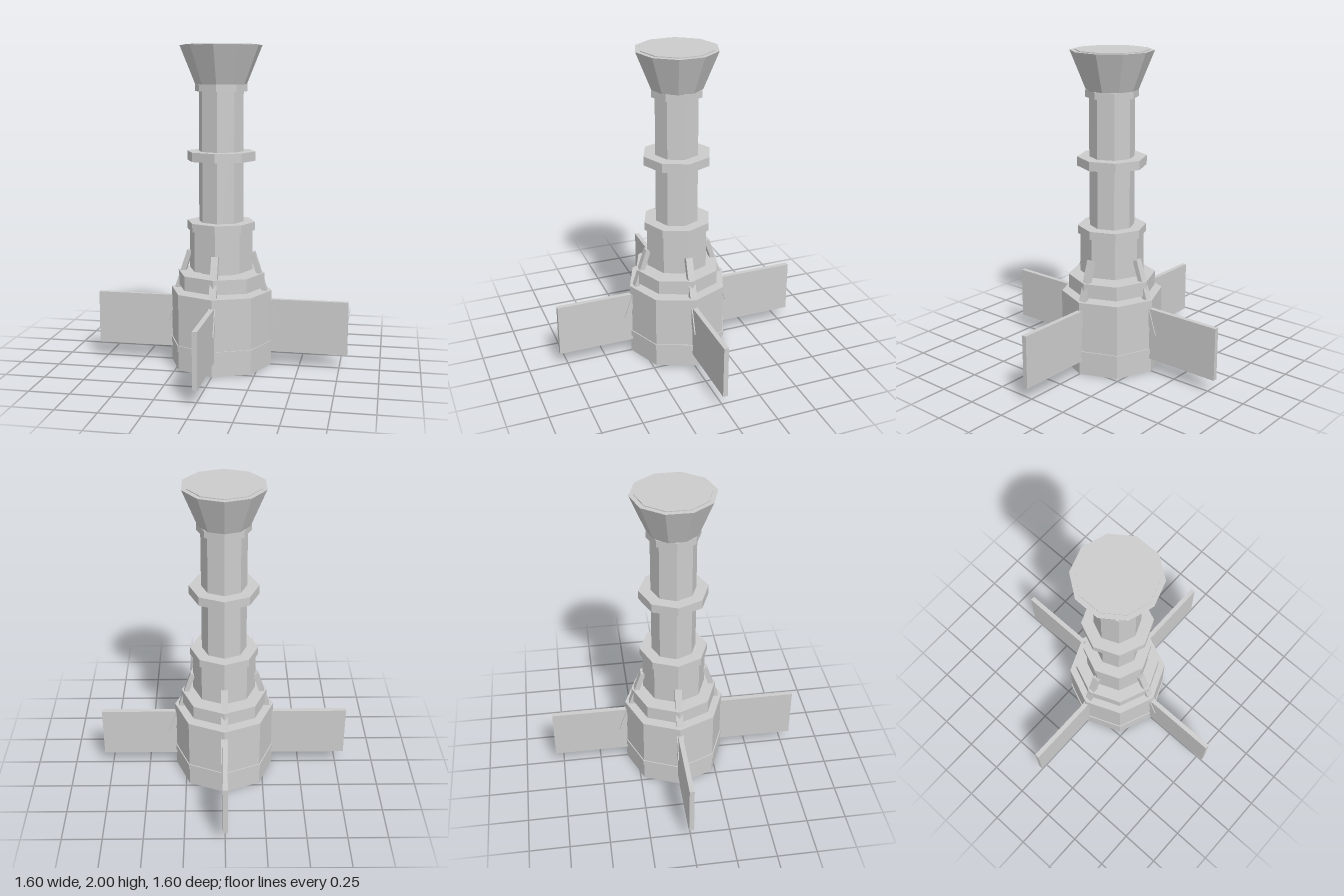
import * as THREE from 'three';

export function createModel() {
  const model = new THREE.Group();
  const grey = new THREE.MeshStandardMaterial({ color: 0xcccccc, flatShading: true });
  grey.name = 'light grey';

  const add = (name, geometry, parent = model) => {
    const mesh = new THREE.Mesh(geometry, grey);
    mesh.name = name;
    parent.add(mesh);
    return mesh;
  };

  // Faceted drum from y0 to y1
  const drum = (name, y0, y1, rBottom, rTop = rBottom, sides = 8) => {
    const mesh = add(name, new THREE.CylinderGeometry(rTop, rBottom, y1 - y0, sides));
    mesh.position.y = (y0 + y1) / 2;
  };

  // Octagonal body stack
  drum('base', 0, 0.48, 0.32);
  drum('baseBand', 0.12, 0.157, 0.327);
  drum('shoulder', 0.5, 0.59, 0.275);
  drum('lowerSleeve', 0.61, 0.86, 0.2);
  drum('shaft', 0.47, 1.72, 0.14);
  drum('lowerCollar', 0.86, 0.912, 0.215);
  drum('middleCollar', 1.293, 1.35, 0.215);
  drum('neckCollar', 1.717, 1.76, 0.163);

  // Ten-sided flared head with a slightly raised cap
  drum('flaredHead', 1.76, 1.995, 0.16, 0.255, 10);
  drum('headCap', 1.995, 2, 0.225, 0.225, 10);

  // Four fins, each with a sloping strut that passes through the shoulder and base
  const strutTop = new THREE.Vector2(0.199, 0.72);
  const strutEnd = new THREE.Vector2(0.35, 0.258);
  const run = strutEnd.clone().sub(strutTop);
  for (let i = 0; i < 4; i++) {
    const side = new THREE.Group();
    side.name = 'finAssembly' + (i + 1);
    side.rotation.y = (i * Math.PI) / 2;
    const fin = add('fin', new THREE.BoxGeometry(0.52, 0.335, 0.03), side);
    fin.position.set(0.54, 0.2575, 0);
    const strut = add('strut', new THREE.BoxGeometry(0.032, run.length(), 0.044), side);
    strut.position.set((strutTop.x + strutEnd.x) / 2, (strutTop.y + strutEnd.y) / 2, 0);
    strut.rotation.z = Math.atan2(run.x, -run.y);
    model.add(side);
  }

  return model;
}
